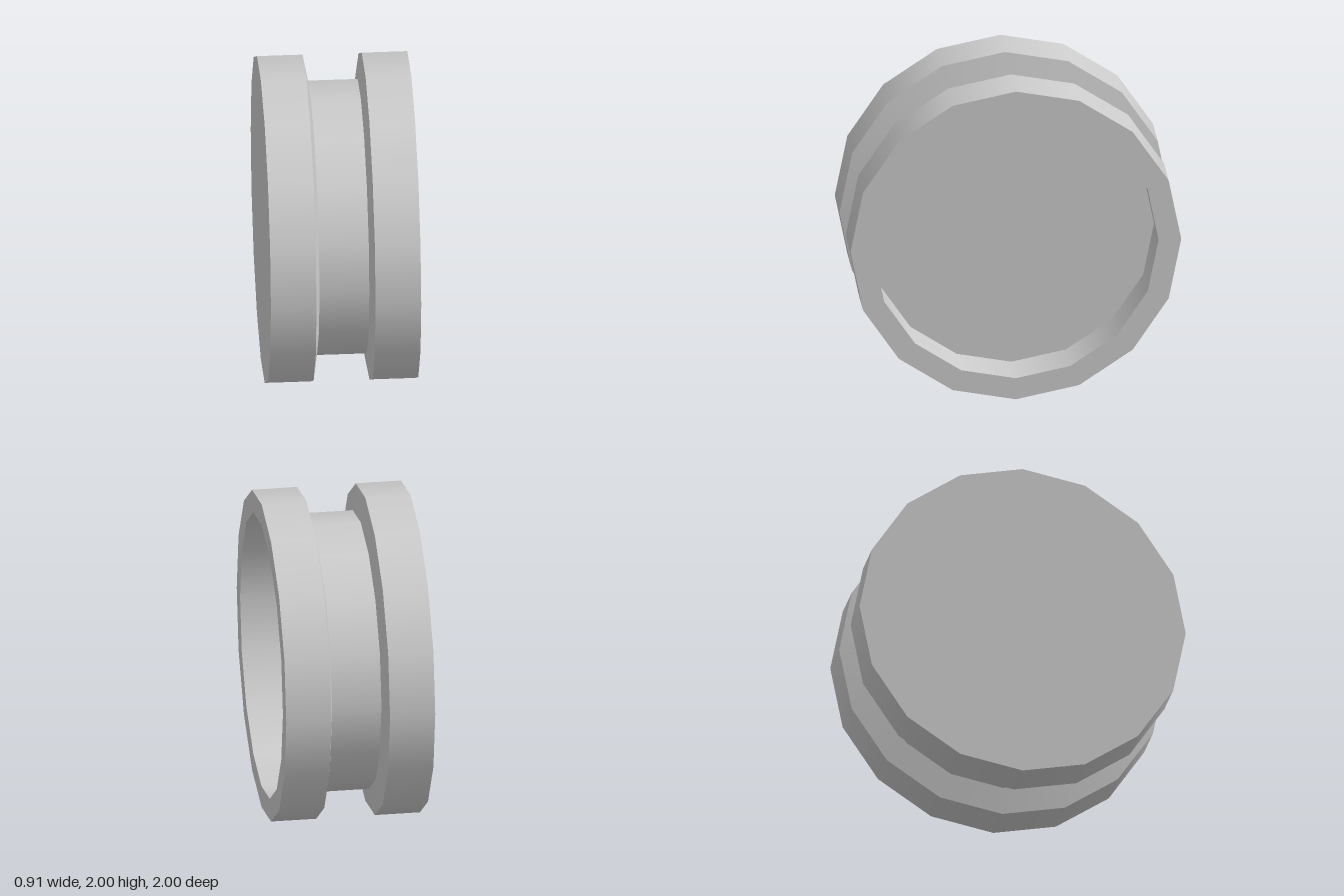
import * as THREE from 'three';
import { mergeGeometries } from 'three/addons/utils/BufferGeometryUtils.js';

const SIDES = 16;

// Revolves a [radius, x] profile around the x axis: smooth around, sharp at each profile corner.
function revolve(name, profile, material) {
  const bands = [];
  for (let i = 0; i < profile.length - 1; i++) {
    const pair = [profile[i], profile[i + 1]].map(([r, x]) => new THREE.Vector2(r, x));
    bands.push(new THREE.LatheGeometry(pair, SIDES));
  }
  const geometry = mergeGeometries(bands);
  geometry.rotateZ(-Math.PI / 2);
  const mesh = new THREE.Mesh(geometry, material);
  mesh.name = name;
  return mesh;
}

export function createModel() {
  const group = new THREE.Group();
  group.name = 'groovedWheel';
  const material = new THREE.MeshStandardMaterial({ color: 0xcccccc });

  const R = 1, half = 0.453;        // outer radius, half width
  const grooveR = 0.84, grooveTop = 0.178, grooveBottom = 0.15;
  const recessR = 0.863, floorX = 0.19;

  // Closed flange with a flat outer face
  group.add(revolve('closedFlange', [[0, -half], [R, -half], [R, -grooveTop]], material));

  // Groove with slanted walls
  group.add(revolve('groove', [
    [R, -grooveTop], [grooveR, -grooveBottom], [grooveR, grooveBottom], [R, grooveTop],
  ], material));

  // Open flange: tread, rim face, recess wall and recess floor
  group.add(revolve('openFlange', [[R, grooveTop], [R, half], [recessR, half]], material));
  group.add(revolve('recess', [[recessR, half], [recessR, floorX], [0, floorX]], material));

  group.position.y = R;
  return group;
}
